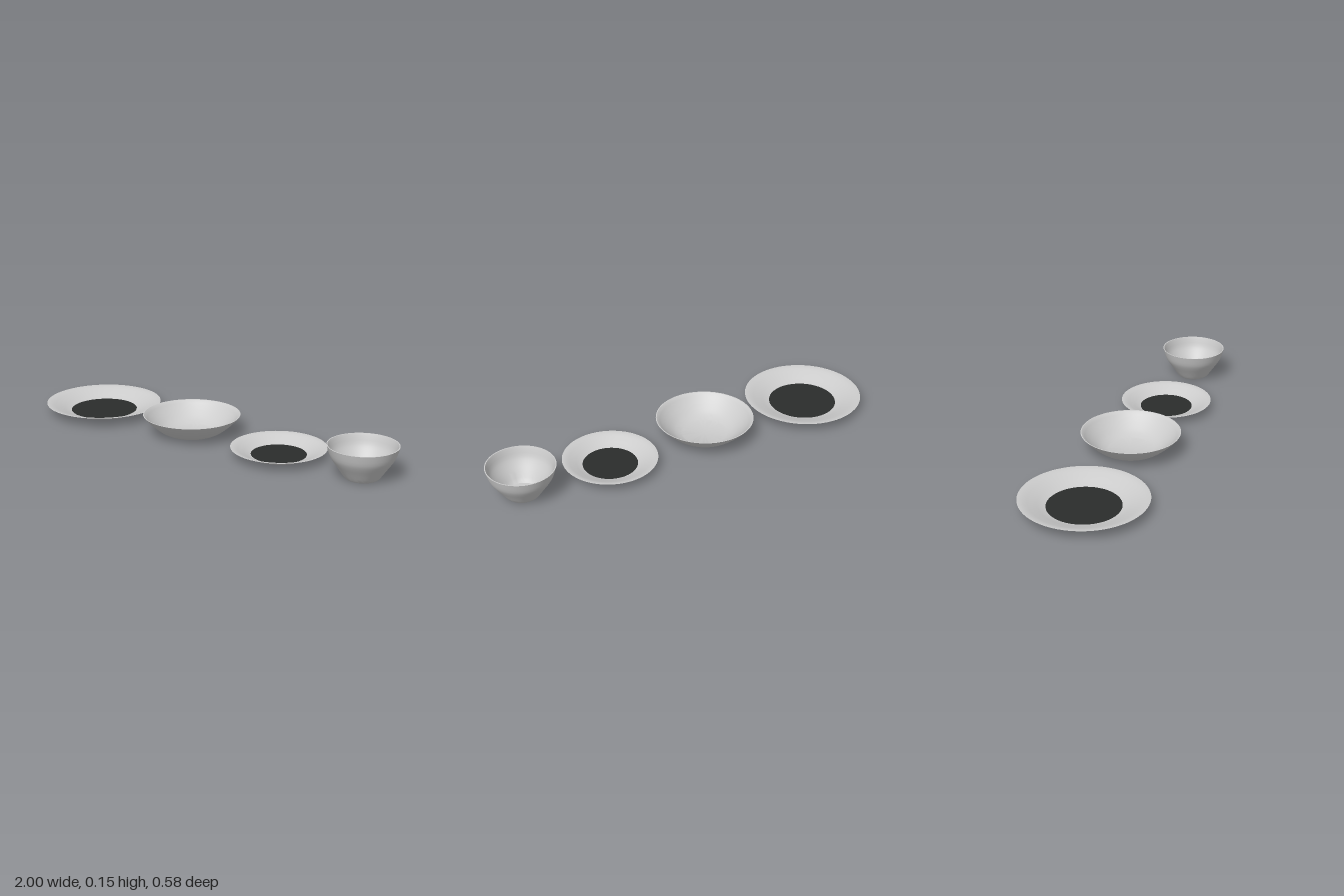
import * as THREE from 'three';
import { toCreasedNormals } from 'three/addons/utils/BufferGeometryUtils.js';

const grey = new THREE.MeshStandardMaterial({ color: 0xcccccc, side: THREE.DoubleSide });
const dark = new THREE.MeshStandardMaterial({ color: 0x2b2d2c });
const SEGMENTS = 64;

// Turned vessel: the outer wall runs from foot to rim, the inner wall follows it at a small offset
function vessel(name, x, wall, thickness, floor) {
  const curve = new THREE.SplineCurve(wall.map(([r, y]) => new THREE.Vector2(r, y)));
  const outer = curve.getPoints(14);
  const rim = outer[outer.length - 1];
  const inner = outer.map((p, i) => {
    const t = curve.getTangent(i / 14);
    return new THREE.Vector2(p.x - t.y * thickness, p.y + t.x * thickness);
  }).filter((p) => p.y > floor + 0.002 && p.y < rim.y - 0.001);
  const first = inner[0];
  const lip = new THREE.Vector2(rim.x - thickness * 0.8, rim.y);
  const points = [
    new THREE.Vector2(0, 0), ...outer, lip, ...inner.reverse(),
    new THREE.Vector2(first.x - 0.008, floor), new THREE.Vector2(0, floor),
  ];
  const geometry = toCreasedNormals(new THREE.LatheGeometry(points, SEGMENTS), 0.45);
  const body = new THREE.Mesh(geometry, grey);
  body.name = name + 'Body';
  const group = new THREE.Group();
  group.name = name;
  group.position.x = x;
  group.add(body);
  return group;
}

// Plate: shallow vessel with a dark round centre
function plate(name, x, wall, centreRadius) {
  const group = vessel(name, x, wall, 0.005, 0.006);
  const centre = new THREE.Mesh(new THREE.CircleGeometry(centreRadius, SEGMENTS), dark);
  centre.name = name + 'Centre';
  centre.rotation.x = -Math.PI / 2;
  centre.position.y = 0.0075;
  group.add(centre);
  return group;
}

export function createModel() {
  const model = new THREE.Group();
  model.name = 'tableware';
  model.add(
    plate('dinnerPlate', -0.71, [[0.16, 0], [0.19, 0.01], [0.225, 0.024], [0.29, 0.048]], 0.171),
    vessel('bowl', -0.128, [[0.11, 0], [0.15, 0.018], [0.19, 0.049], [0.218, 0.076], [0.236, 0.097]], 0.006, 0.006),
    plate('sidePlate', 0.39, [[0.125, 0], [0.15, 0.01], [0.176, 0.022], [0.225, 0.043]], 0.134),
    vessel('cup', 0.839, [[0.075, 0], [0.083, 0.008], [0.11, 0.047], [0.133, 0.08], [0.148, 0.108], [0.161, 0.152]], 0.006, 0.007),
  );
  return model;
}
